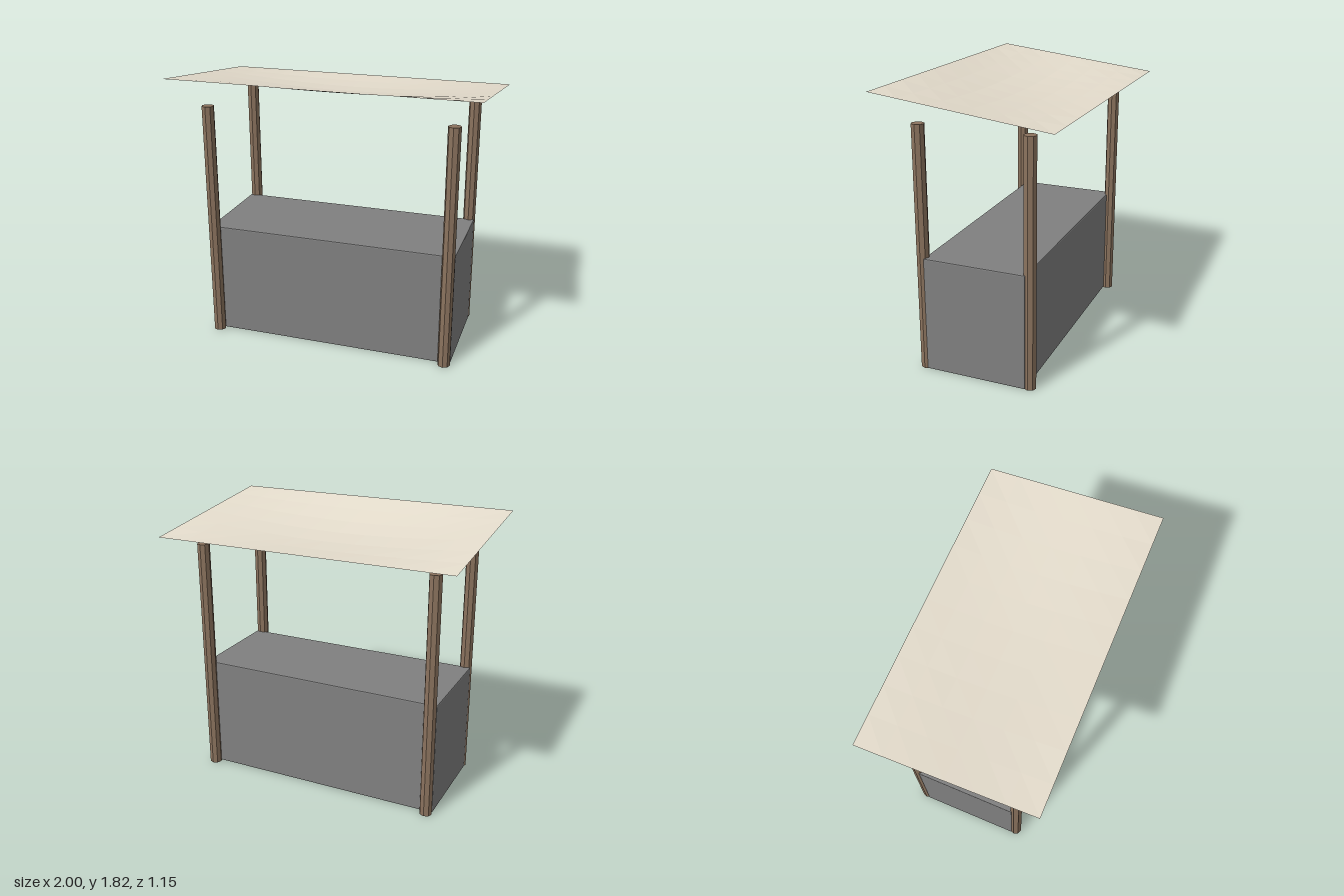
import * as THREE from 'three';
import { RoundedBoxGeometry } from 'three/addons/geometries/RoundedBoxGeometry.js';

export function createModel() {
  const group = new THREE.Group();
  const mat = (name, color, extra = {}) => {
    const m = new THREE.MeshStandardMaterial({ color, flatShading: true, ...extra });
    m.name = name;
    return m;
  };
  const stone = mat('grey', 0x808080);
  const wood = mat('wood brown', 0x8b735e);
  const cloth = mat('canvas cream', 0xe4dccc, { side: THREE.DoubleSide });

  const add = (name, geometry, material, x, y, z) => {
    const mesh = new THREE.Mesh(geometry, material);
    mesh.name = name;
    mesh.position.set(x, y, z);
    group.add(mesh);
  };

  // Solid counter with tiny softened edges, reaching the outside of the posts
  const counterHeight = 0.768;
  add('counter', new RoundedBoxGeometry(1.692, counterHeight, 0.682, 1, 0.008), stone, 0, counterHeight / 2, 0);

  // Four corner posts
  const postHeight = 1.617;
  const post = new THREE.CylinderGeometry(0.0415, 0.0415, postHeight, 8);
  for (const [zName, z] of [['front', 0.359], ['back', -0.359]])
    for (const [xName, x] of [['Left', 0.8075], ['Right', -0.8075]])
      add(`${zName}${xName}Post`, post, wood, x, postHeight / 2, z);

  // Sloping cloth canopy: straight edges, sagging in the middle
  const depth = 1.15, frontY = 1.823, backY = 1.685, sag = 0.058;
  const canopy = new THREE.PlaneGeometry(2, depth, 10, 6);
  canopy.rotateX(-Math.PI / 2);
  const p = canopy.attributes.position;
  for (let i = 0; i < p.count; i++) {
    const x = p.getX(i), z = p.getZ(i);
    const slope = THREE.MathUtils.lerp(backY, frontY, z / depth + 0.5);
    p.setY(i, slope - sag * Math.cos(x * Math.PI / 2) * Math.cos(z / depth * Math.PI));
  }
  canopy.computeVertexNormals();
  add('canopy', canopy, cloth, 0, 0, 0);

  return group;
}
